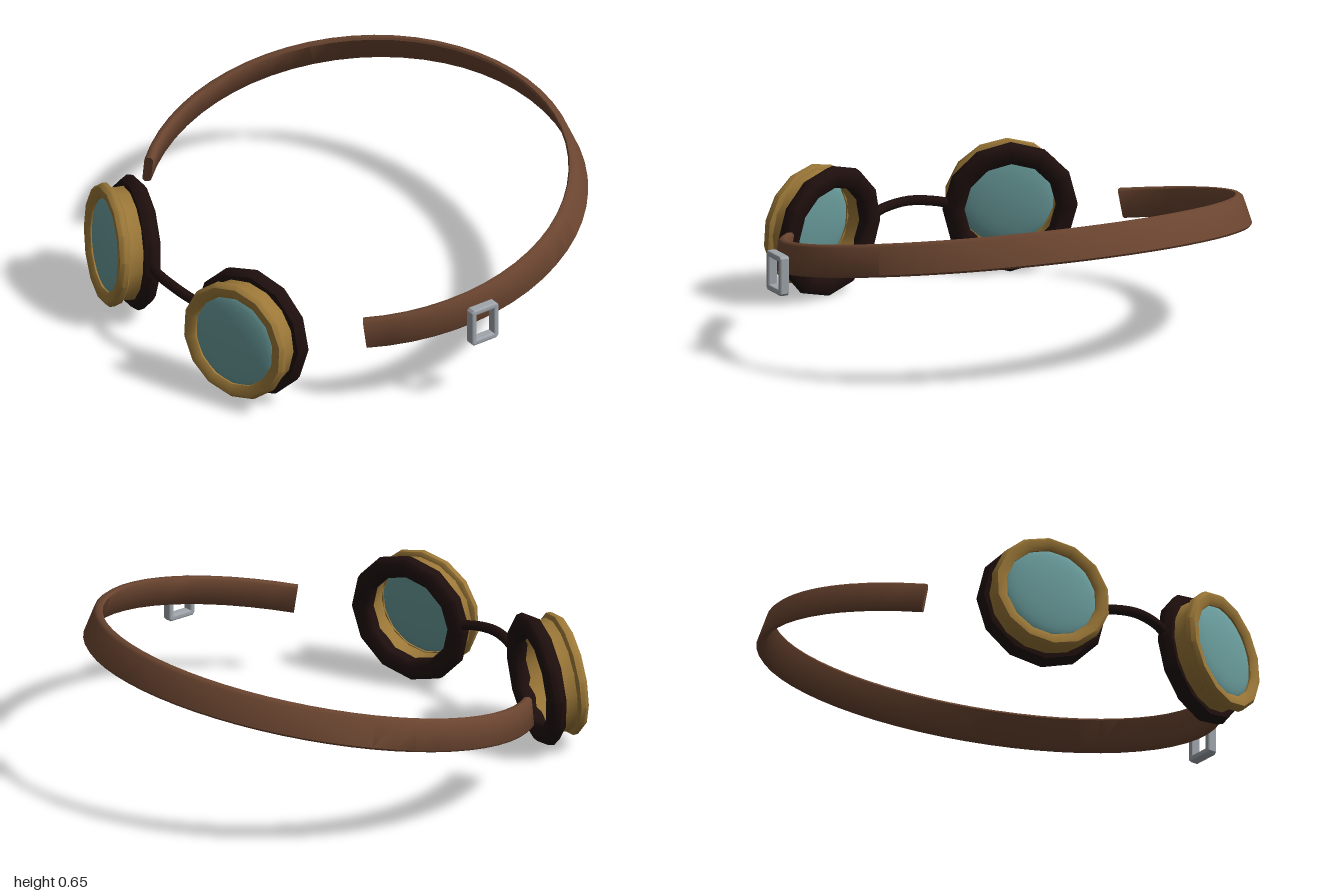
import * as THREE from 'three';
import { toCreasedNormals } from 'three/addons/utils/BufferGeometryUtils.js';

const mat = (color) => new THREE.MeshStandardMaterial({ color });
const leather = mat(0x6b4530);
const brass = mat(0x9c7838);
const padding = mat(0x1e0f0d);
const glass = mat(0x6a9c9c);
const steel = mat(0xa0a6ad);

function part(name, geometry, material) {
  const mesh = new THREE.Mesh(geometry, material);
  mesh.name = name;
  return mesh;
}

// Ring turned around the z axis from a closed [radius, depth] profile
function ring(profile, sides) {
  const points = [...profile, profile[0]].map(([r, d]) => new THREE.Vector2(r, d));
  const geometry = new THREE.LatheGeometry(points, sides).rotateX(Math.PI / 2);
  return toCreasedNormals(geometry, 0.75);
}

// Head strap: a bevelled band swept around an open, sloping ellipse, leaning inward at the top
function strapGeometry() {
  const rx = 0.945, rz = 0.83, end = 2.232, steps = 44;
  const w = 0.018, h = 0.061, b = 0.009;
  const section = [
    [w, -h + b], [w, h - b], [w - b, h], [-w + b, h],
    [-w, h - b], [-w, -h + b], [-w + b, -h], [w - b, -h],
  ];
  const n = section.length, positions = [], index = [];
  for (let i = 0; i <= steps; i++) {
    const a = -end + (2 * end * i) / steps;
    const z = -0.08 - rz * Math.cos(a);
    const centre = new THREE.Vector3(rx * Math.sin(a), 0.335 + 0.2 * (0.43 - z), z);
    const out = new THREE.Vector3(Math.sin(a) / rx, 0, -Math.cos(a) / rz).normalize();
    const up = new THREE.Vector3(0, 1, 0.2).addScaledVector(out, -0.25);
    for (const [u, v] of section) {
      const p = centre.clone().addScaledVector(out, u).addScaledVector(up, v);
      positions.push(p.x, p.y, p.z);
    }
  }
  for (let i = 0; i < steps; i++) {
    for (let j = 0; j < n; j++) {
      const k = (j + 1) % n, r = i * n, s = r + n;
      index.push(r + j, r + k, s + j, r + k, s + k, s + j);
    }
  }
  // end caps
  const last = steps * n;
  for (let j = 1; j < n - 1; j++) {
    index.push(0, j + 1, j, last, last + j, last + j + 1);
  }
  const geometry = new THREE.BufferGeometry();
  geometry.setAttribute('position', new THREE.Float32BufferAttribute(positions, 3));
  geometry.setIndex(index);
  return toCreasedNormals(geometry, 0.9);
}

// Rectangular buckle frame, lying in the yz plane
function buckleGeometry() {
  const rect = (path, w, h, r) => {
    path.moveTo(-w + r, -h).lineTo(w - r, -h).lineTo(w, -h + r).lineTo(w, h - r)
      .lineTo(w - r, h).lineTo(-w + r, h).lineTo(-w, h - r).lineTo(-w, -h + r).closePath();
    return path;
  };
  const shape = rect(new THREE.Shape(), 0.058, 0.075, 0.006);
  shape.holes.push(rect(new THREE.Path(), 0.049, 0.064, 0.003));
  const bevel = 0.007;
  const geometry = new THREE.ExtrudeGeometry(shape, {
    depth: 0.028, bevelEnabled: true, bevelSize: bevel, bevelThickness: bevel, bevelSegments: 2,
  });
  return geometry.translate(0, 0, -0.014).rotateY(Math.PI / 2);
}

// One eyepiece, its back at z = 0 and facing +z
function eyepiece() {
  const group = new THREE.Group();
  const pad = ring([
    [0.25, 0], [0.268, 0.015], [0.273, 0.04], [0.255, 0.068],
    [0.2, 0.068], [0.185, 0.045], [0.188, 0.015], [0.205, 0],
  ], 12);
  const barrel = ring([[0.235, 0.05], [0.228, 0.095], [0.235, 0.14], [0.195, 0.14], [0.195, 0.05]], 16);
  const rim = ring([
    [0.236, 0.122], [0.25, 0.132], [0.25, 0.152], [0.237, 0.168],
    [0.21, 0.168], [0.192, 0.155], [0.192, 0.122],
  ], 14);
  const lens = new THREE.SphereGeometry(0.197, 28, 16).rotateX(Math.PI / 2).scale(1, 1, 0.18);
  lens.translate(0, 0, 0.138);
  group.add(
    part('eyePadding', pad, padding),
    part('barrel', barrel, brass),
    part('rim', rim, brass),
    part('lens', lens, glass),
  );
  return group;
}

export function createModel() {
  const model = new THREE.Group();
  model.name = 'goggles';

  const body = new THREE.Group();
  body.name = 'gogglesBody';
  body.position.x = -0.017;
  model.add(body);

  // Eyepieces, turned outward and slightly up
  for (const [name, side] of [['leftEyepiece', 1], ['rightEyepiece', -1]]) {
    const eye = eyepiece();
    eye.name = name;
    eye.position.set(side * 0.393, 0.281, 0.71);
    eye.rotation.set(-0.08, side * 0.32, 0, 'YXZ');
    body.add(eye);
  }

  // Nose bridge
  const bridge = new THREE.CatmullRomCurve3([
    new THREE.Vector3(-0.19, 0.305, 0.8),
    new THREE.Vector3(-0.12, 0.32, 0.833),
    new THREE.Vector3(0, 0.332, 0.85),
    new THREE.Vector3(0.12, 0.32, 0.833),
    new THREE.Vector3(0.19, 0.305, 0.8),
  ]);
  body.add(part('noseBridge', new THREE.TubeGeometry(bridge, 16, 0.021, 8), padding));

  body.add(part('headStrap', strapGeometry(), leather));

  const buckle = part('buckle', buckleGeometry(), steel);
  buckle.position.set(0.974, 0.362, 0.028);
  model.add(buckle);

  return model;
}
